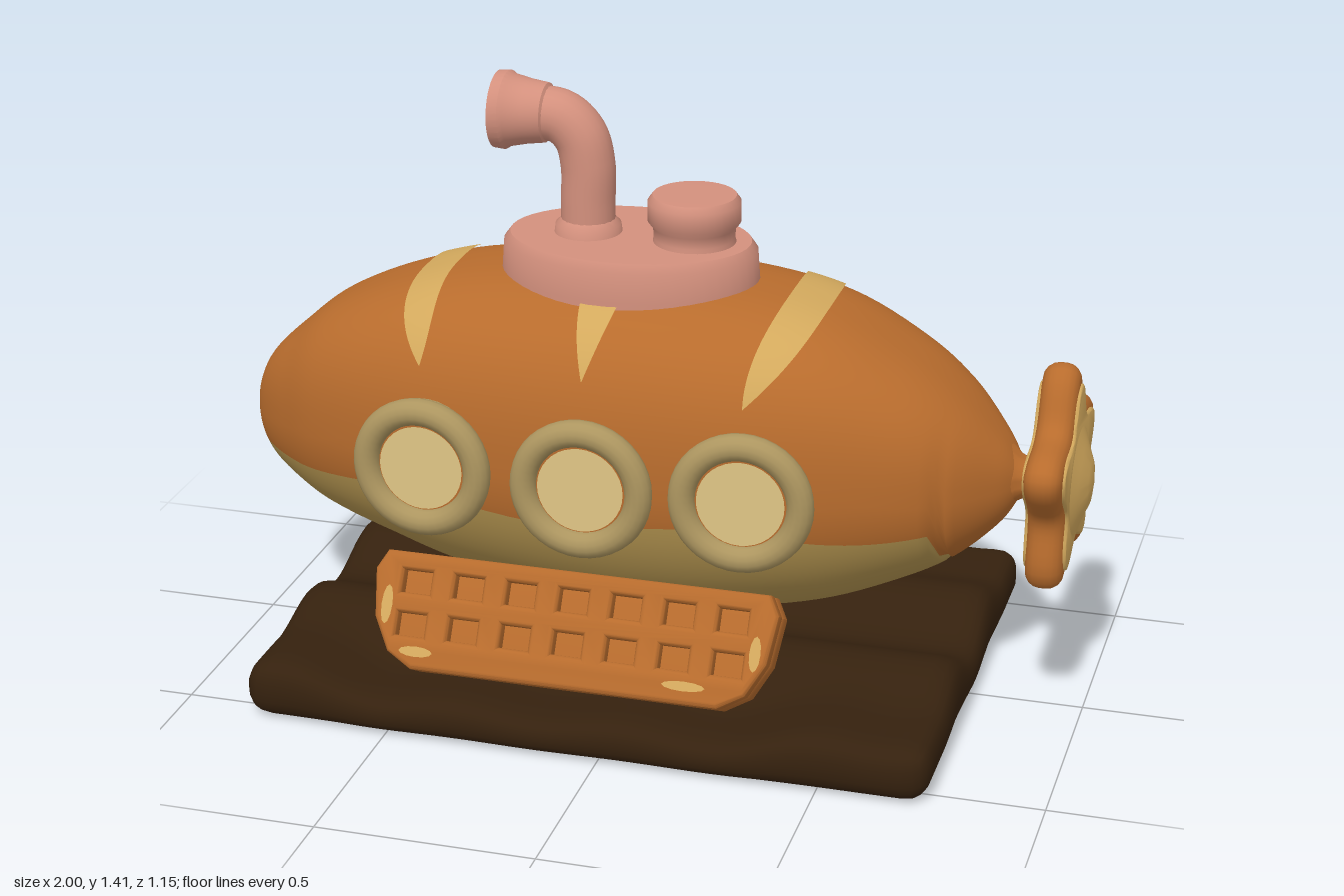
import * as THREE from 'three';
import { mergeVertices, toCreasedNormals } from 'three/addons/utils/BufferGeometryUtils.js';

const mat = (name, color) => Object.assign(new THREE.MeshStandardMaterial({ color }), { name });
const crust = mat('crust', 0xb86c2d);
const cut = mat('cut dough', 0xd3a95d);
const belly = mat('belly dough', 0xb2934f);
const ringTan = mat('ring dough', 0xad9660);
const glass = mat('pale glass', 0xe0c685);
const pink = mat('pink icing', 0xd3907d);
const chocolate = mat('chocolate', 0x35210e);

const V2 = (pts) => pts.map(([x, y]) => new THREE.Vector2(x, y));
const lathe = (pts, seg = 36) => toCreasedNormals(new THREE.LatheGeometry(V2(pts), seg), 0.7);

function add(parent, name, geo, material, pos = [0, 0, 0]) {
  const m = new THREE.Mesh(geo, material);
  m.name = name;
  m.position.set(...pos);
  parent.add(m);
  return m;
}

// Hull cross-sections: x, top y, bottom y, half width in z
const stations = [
  [-1, 0.55, 0.55, 0], [-0.985, 0.62, 0.48, 0.055], [-0.95, 0.69, 0.42, 0.105], [-0.88, 0.76, 0.37, 0.17],
  [-0.78, 0.84, 0.32, 0.24], [-0.62, 0.91, 0.27, 0.305], [-0.42, 0.96, 0.215, 0.35], [-0.1, 0.98, 0.18, 0.375],
  [0.18, 0.97, 0.19, 0.37], [0.4, 0.93, 0.23, 0.335], [0.58, 0.845, 0.30, 0.275], [0.7, 0.76, 0.365, 0.205],
  [0.79, 0.665, 0.445, 0.11], [0.83, 0.605, 0.505, 0.05], [0.85, 0.555, 0.555, 0],
];
const spine = new THREE.CatmullRomCurve3(stations.map((s) => new THREE.Vector3(s[0], s[1], s[2])), false, 'catmullrom');
const widths = new THREE.CatmullRomCurve3(stations.map((s) => new THREE.Vector3(s[0], s[3], 0)), false, 'catmullrom');

function section(t) {
  const p = spine.getPoint(t);
  return { x: p.x, cy: (p.y + p.z) / 2, ry: (p.y - p.z) / 2, w: widths.getPoint(t).y };
}
function sectionAt(x) {
  let lo = 0, hi = 1;
  for (let i = 0; i < 24; i++) {
    const mid = (lo + hi) / 2;
    if (spine.getPoint(mid).x < x) lo = mid; else hi = mid;
  }
  return section(lo);
}
// Point on a section: round below, squarer shoulders above
function hullPoint(q, a, lift = 0) {
  const e = Math.sin(a) > 0 ? 0.77 : 1;
  const soft = (v) => Math.sign(v) * Math.abs(v) ** e;
  return [q.x, q.cy + (q.ry + lift) * soft(Math.sin(a)), (q.w + lift) * soft(Math.cos(a))];
}

function grid(points, rows, cols, wrap, firstCols) {
  const groups = [[], []];
  const stride = wrap ? cols : cols + 1;
  for (let i = 0; i < rows; i++) for (let j = 0; j < cols; j++) {
    const k = wrap ? (j + 1) % cols : j + 1;
    const a = i * stride + j, b = a + stride, c = (i + 1) * stride + k, d = i * stride + k;
    groups[j < firstCols ? 0 : 1].push(a, b, c, a, c, d);
  }
  const g = new THREE.BufferGeometry();
  g.setAttribute('position', new THREE.Float32BufferAttribute(points, 3));
  g.setIndex([...groups[0], ...groups[1]]);
  g.addGroup(0, groups[0].length, 0);
  g.addGroup(groups[0].length, groups[1].length, 1);
  g.computeVertexNormals();
  return g;
}

// Loaf hull, crust above and pale belly below a wavy line
function hullGeometry() {
  const rows = 84, top = 56, low = 28, pts = [];
  for (let i = 0; i <= rows; i++) {
    const q = section(i / rows);
    const line = 0.488 + 0.014 * Math.sin(q.x * 9) - Math.max(0, q.x - 0.67) * 6;
    const a0 = Math.asin(THREE.MathUtils.clamp((line - q.cy) / Math.max(q.ry, 1e-4), -1, 0));
    for (let j = 0; j < top + low; j++) {
      const a = j < top ? a0 + (Math.PI - 2 * a0) * j / top
        : Math.PI - a0 + (Math.PI + 2 * a0) * (j - top) / low;
      pts.push(...hullPoint(q, a));
    }
  }
  return grid(pts, rows, top + low, true, top);
}

// Score mark lying across the top of the loaf
function scoreGeometry(cx, bend, half, span, power) {
  const rows = 6, cols = 48, pts = [];
  for (let i = 0; i <= rows; i++) for (let j = 0; j <= cols; j++) {
    const s = j / cols * 2 - 1;
    const x = cx - bend * s * s + (i / rows * 2 - 1) * half * (1 - Math.abs(s) ** power);
    pts.push(...hullPoint(sectionAt(x), Math.PI / 2 + s * span, 0.006));
  }
  return grid(pts, rows, cols, false, cols);
}

// Plump five-pointed star standing across the x axis
function starGeometry(scale, depth, bevel) {
  const pts = [];
  for (let i = 0; i < 80; i++) {
    const a = i / 80 * Math.PI * 2;
    const r = (0.217 + 0.044 * Math.cos(5 * a) + 0.004 * Math.cos(10 * a)) * scale;
    pts.push(new THREE.Vector2(Math.sin(a) * r, Math.cos(a) * r));
  }
  const g = new THREE.ExtrudeGeometry(new THREE.Shape(pts), {
    depth: depth - 2 * bevel, bevelThickness: bevel, bevelSize: bevel, bevelOffset: -bevel, bevelSegments: 4,
  });
  g.translate(0, 0, bevel - depth / 2);
  g.rotateY(Math.PI / 2);
  return toCreasedNormals(g, 0.8);
}

// Waffle slab: thick rounded back, front plate pierced by pockets, pale worn ends
function waffle() {
  const group = new THREE.Group();
  const outline = V2([[-0.36, -0.14], [0.36, -0.14], [0.42, -0.105], [0.46, -0.03], [0.474, 0.08],
    [0.45, 0.125], [-0.45, 0.125], [-0.474, 0.08], [-0.46, -0.03], [-0.42, -0.105]]);
  const plate = (pierced, z, depth, b) => {
    const shape = new THREE.Shape(outline);
    if (pierced) for (let c = -3; c <= 3; c++) for (const v of [0.058, -0.04]) {
      const x = c * 0.124, w = 0.034, h = 0.026;
      shape.holes.push(new THREE.Path(V2([[x - w, v - h], [x - w, v + h], [x + w, v + h], [x + w, v - h]])));
    }
    const g = new THREE.ExtrudeGeometry(shape, {
      depth: depth - 2 * b, bevelThickness: b, bevelSize: b, bevelOffset: -b, bevelSegments: 4,
    });
    return toCreasedNormals(g.translate(0, 0, z + b), 0.6);
  };
  add(group, 'waffleBack', plate(false, -0.075, 0.098, 0.035), crust);
  add(group, 'waffleGrid', plate(true, 0.004, 0.054, 0.012), crust);
  for (const [x, y, w, h] of [[-0.433, 0, 0.013, 0.045], [0.433, -0.01, 0.013, 0.04], [-0.35, -0.1, 0.04, 0.012],
    [0.28, -0.1, 0.05, 0.011]]) {
    add(group, 'waffleWornPatch', new THREE.CircleGeometry(1, 12).scale(w, h, 1), cut, [x, y, 0.0595]);
  }
  return group;
}

function porthole() {
  const group = new THREE.Group();
  group.name = 'porthole';
  const body = new THREE.CylinderGeometry(0.145, 0.15, 0.12, 36).rotateX(Math.PI / 2);
  add(group, 'portholeBody', body, ringTan, [0, 0, -0.06]);
  add(group, 'portholeRing', new THREE.TorusGeometry(0.133, 0.031, 14, 40), ringTan);
  add(group, 'portholeSeam', new THREE.CircleGeometry(0.115, 36), crust, [0, 0, 0.003]);
  add(group, 'portholeGlass', new THREE.CircleGeometry(0.099, 36), glass, [0, 0, 0.007]);
  return group;
}

// Chocolate slab with rounded edges, a rippled top and a dip under each waffle
function baseGeometry() {
  const size = [1.59, 0.13, 1.15], r = 0.055;
  let g = new THREE.BoxGeometry(...size, 52, 6, 40);
  g.deleteAttribute('uv');
  g.deleteAttribute('normal');
  g = mergeVertices(g);
  const p = g.attributes.position, v = new THREE.Vector3(), core = new THREE.Vector3();
  const lim = new THREE.Vector3(...size).multiplyScalar(0.5).subScalar(r);
  for (let i = 0; i < p.count; i++) {
    v.fromBufferAttribute(p, i);
    core.copy(v).clamp(lim.clone().negate(), lim);
    v.sub(core).normalize().multiplyScalar(r).add(core);
    const z = Math.min(Math.abs(v.z), 0.4);
    const edge = THREE.MathUtils.smoothstep(Math.abs(v.z), 0.25, 0.42);
    const under = 1 - THREE.MathUtils.smoothstep(Math.abs(v.x + 0.06), 0.38, 0.68);
    const ripple = 0.01 - 0.03 * Math.cos(z * Math.PI / 0.2) + edge * (0.022 - 0.04 * under + 0.008 * Math.sin(v.x * 16));
    p.setXYZ(i, v.x, v.y + 0.065 + (v.y + 0.065) / 0.13 * ripple, v.z);
  }
  g.computeVertexNormals();
  return g;
}

export function createModel() {
  const model = new THREE.Group();
  model.name = 'breadSubmarine';
  add(model, 'base', baseGeometry(), chocolate, [-0.045, 0, 0]);
  add(model, 'hull', hullGeometry(), [crust, belly]);
  add(model, 'frontScore', scoreGeometry(-0.53, -0.045, 0.042, 1.05, 4), cut);
  add(model, 'middleScore', scoreGeometry(-0.095, 0, 0.052, 1.05, 2.2), cut);
  add(model, 'rearScore', scoreGeometry(0.35, 0.08, 0.046, 1.1, 4), cut);

  // Portholes and waffles on both sides
  for (const side of [1, -1]) {
    for (const x of [-0.46, -0.08, 0.28]) {
      const p = porthole(), yaw = 0.15 * (x + 0.08);
      p.position.set(x, 0.588, side * (x === -0.08 ? 0.4 : 0.378));
      p.rotation.y = side > 0 ? yaw : Math.PI - yaw;
      model.add(p);
    }
    const mount = new THREE.Group(), slab = waffle();
    mount.name = side > 0 ? 'frontWaffle' : 'backWaffle';
    mount.position.set(-0.105, 0.228, 0);
    mount.rotation.y = side > 0 ? 0 : Math.PI;
    slab.position.z = 0.37;
    slab.rotation.x = -Math.PI / 6;
    mount.add(slab);
    model.add(mount);
  }

  // Conning tower, hatch and periscope
  const tower = lathe([[0.3, 0.89], [0.3, 0.96], [0.295, 1.03], [0.28, 1.05], [0, 1.052]], 48);
  add(model, 'tower', tower, pink, [-0.08, 0, 0]).scale.z = 0.7;
  add(model, 'hatch', lathe([[0.1, 1.03], [0.092, 1.06], [0.094, 1.085], [0.106, 1.1], [0.106, 1.145], [0.095, 1.16], [0, 1.162]]),
    pink, [0.07, 0, 0]);
  add(model, 'periscopeCollar', lathe([[0.08, 1.03], [0.075, 1.07], [0.06, 1.085]]), pink, [-0.18, 0, 0]);
  const path = new THREE.CatmullRomCurve3([[-0.18, 1.02], [-0.18, 1.12], [-0.18, 1.21], [-0.197, 1.275],
    [-0.24, 1.315], [-0.31, 1.322]].map(([x, y]) => new THREE.Vector3(x, y, 0)));
  add(model, 'periscopeTube', new THREE.TubeGeometry(path, 36, 0.062, 20), pink);
  const horn = lathe([[0.055, 0], [0.068, 0.008], [0.074, 0.05], [0.083, 0.09], [0.09, 0.1], [0.088, 0.125],
    [0.064, 0.125], [0.06, 0.09]]);
  add(model, 'periscopeHorn', horn.rotateZ(Math.PI / 2), pink, [-0.267, 1.322, 0]);
  add(model, 'periscopeLens', new THREE.CircleGeometry(0.063, 28).rotateY(-Math.PI / 2), belly, [-0.37, 1.322, 0]);

  // Star propeller with neck and domed hub
  const neck = lathe([[0.09, 0], [0.055, 0.03], [0.045, 0.05], [0.06, 0.07], [0.1, 0.1]]).rotateZ(-Math.PI / 2);
  add(model, 'propellerNeck', neck, crust, [0.8, 0.56, 0]);
  add(model, 'propellerRim', starGeometry(1, 0.085, 0.035), crust, [0.917, 0.578, 0]);
  add(model, 'propellerFace', starGeometry(0.83, 0.096, 0.006), cut, [0.917, 0.578, 0]);
  const dome = lathe([[0.13, 0], [0.09, 0.014], [0.05, 0.03], [0, 0.037]]).rotateZ(-Math.PI / 2);
  add(model, 'propellerHub', dome, cut, [0.963, 0.565, 0]);
  return model;
}
